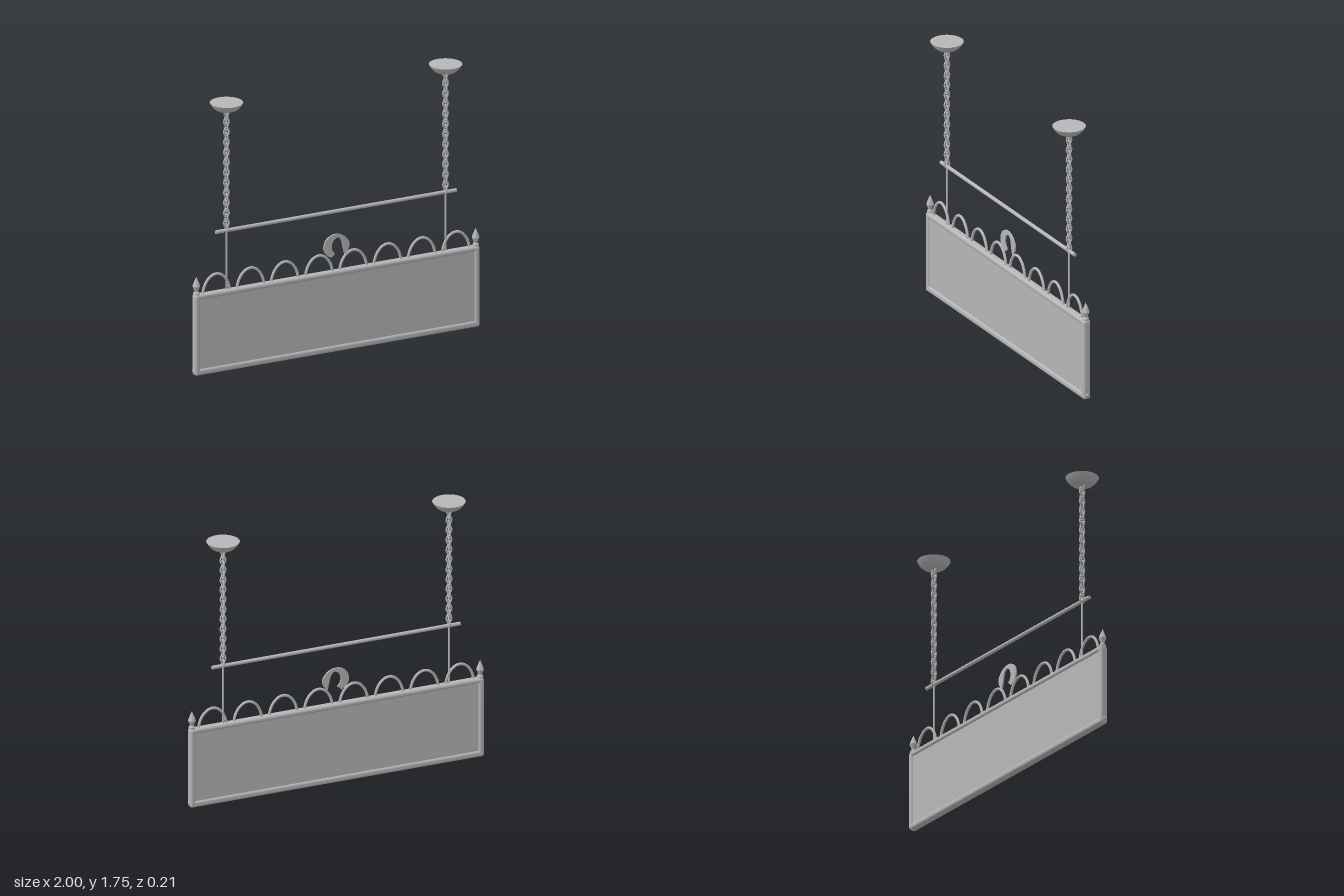
import * as THREE from 'three';
import { toCreasedNormals } from 'three/addons/utils/BufferGeometryUtils.js';
import { RoundedBoxGeometry } from 'three/addons/geometries/RoundedBoxGeometry.js';

const grey = new THREE.MeshStandardMaterial({ color: 0xb6b6b6 });
grey.name = 'grey metal';

const HANG_X = 0.763; // distance of the two hangers from the centre

function add(parent, name, geometry, x = 0, y = 0, z = 0) {
  const mesh = new THREE.Mesh(geometry, grey);
  mesh.name = name;
  mesh.position.set(x, y, z);
  parent.add(mesh);
  return mesh;
}

function lathe(points, segments) {
  const profile = points.map(([r, y]) => new THREE.Vector2(r, y));
  return toCreasedNormals(new THREE.LatheGeometry(profile, segments), 0.6);
}

// Closed oval loop of round wire
class LinkCurve extends THREE.Curve {
  getPoint(t, target = new THREE.Vector3()) {
    const a = t * Math.PI * 2;
    return target.set(Math.cos(a) * 0.017, Math.sin(a) * 0.027, 0);
  }
}

// Parabolic arch standing on the top rail
class ArchCurve extends THREE.Curve {
  getPoint(t, target = new THREE.Vector3()) {
    const a = Math.PI * (1 - t);
    return target.set(Math.cos(a) * 0.093, 0.522 + 0.12 * Math.pow(Math.sin(a), 1.15), 0);
  }
}

export function createModel() {
  const model = new THREE.Group();
  model.name = 'hangingSign';

  // Sign board and its rounded frame
  const board = new THREE.Group();
  board.name = 'board';
  model.add(board);
  add(board, 'panel', new THREE.BoxGeometry(1.93, 0.48, 0.03), 0, 0.268);
  add(board, 'topRail', new RoundedBoxGeometry(1.98, 0.036, 0.05, 4, 0.016), 0, 0.513);
  add(board, 'bottomRail', new RoundedBoxGeometry(1.98, 0.042, 0.05, 4, 0.016), 0, 0.021);
  for (const s of [-1, 1]) {
    add(board, 'sidePost', new RoundedBoxGeometry(0.037, 0.53, 0.052, 4, 0.016), s * 0.974, 0.265);
    add(board, 'cornerBolt', new THREE.SphereGeometry(0.014, 16, 12), s * 0.986, 0.03);
  }

  // Pointed finials on the corners
  const finial = lathe([
    [0, 0], [0.02, 0], [0.02, 0.012], [0.012, 0.022], [0.014, 0.03],
    [0.024, 0.055], [0.018, 0.075], [0.008, 0.1], [0, 0.118],
  ], 20);
  for (const s of [-1, 1]) add(model, 'finial', finial, s * 0.973, 0.528);

  // Row of arches
  const arch = new THREE.TubeGeometry(new ArchCurve(), 32, 0.009, 10);
  for (let i = 0; i < 8; i++) add(model, 'arch', arch, (i - 3.5) * 0.2385, 0);

  // Flat curled ornament, thick on the left and tapering on the right
  const outer = [
    [-0.035, 0.615], [-0.07, 0.64], [-0.087, 0.685], [-0.07, 0.735], [-0.035, 0.759], [0, 0.765],
    [0.045, 0.753], [0.08, 0.72], [0.093, 0.69], [0.085, 0.655], [0.06, 0.62],
  ].map(([x, y]) => new THREE.Vector2(x, y));
  const inner = [
    [0.06, 0.62], [0.05, 0.66], [0.035, 0.72], [0.012, 0.742], [-0.015, 0.73],
    [-0.03, 0.7], [-0.028, 0.665], [-0.008, 0.638],
  ].map(([x, y]) => new THREE.Vector2(x, y));
  const curl = new THREE.Shape();
  curl.moveTo(outer[0].x, outer[0].y);
  curl.splineThru(outer.slice(1));
  curl.splineThru(inner.slice(1));
  curl.closePath();
  const curlGeometry = new THREE.ExtrudeGeometry(curl, { depth: 0.01, bevelEnabled: false, curveSegments: 4 });
  add(model, 'curlOrnament', toCreasedNormals(curlGeometry, 0.6), 0, 0, -0.005);

  // Horizontal hanging bar
  const bar = add(model, 'hangingBar', new THREE.CylinderGeometry(0.012, 0.012, 1.675, 16), 0, 0.915);
  bar.rotation.z = Math.PI / 2;

  // Rod, chain and ceiling canopy on each side
  const rod = new THREE.CylinderGeometry(0.006, 0.006, 0.415, 12);
  const link = new THREE.TubeGeometry(new LinkCurve(), 24, 0.0058, 8, true);
  const canopy = lathe([
    [0, 0], [0.045, 0.001], [0.065, 0.006], [0.08, 0.018], [0.093, 0.034], [0.104, 0.053], [0, 0.053],
  ], 40);
  for (const s of [-1, 1]) {
    const hanger = new THREE.Group();
    hanger.name = s > 0 ? 'leftHanger' : 'rightHanger';
    hanger.position.x = s * HANG_X;
    model.add(hanger);
    add(hanger, 'rod', rod, 0, 0.7275);
    for (let i = 0; i < 24; i++) {
      const mesh = add(hanger, 'chainLink', link, 0, 0.931 + i * 0.0332);
      if (i % 2 === 0) mesh.rotation.y = Math.PI / 2; // alternate links turn a quarter
    }
    add(hanger, 'canopy', canopy, 0, 1.702);
  }
  return model;
}
